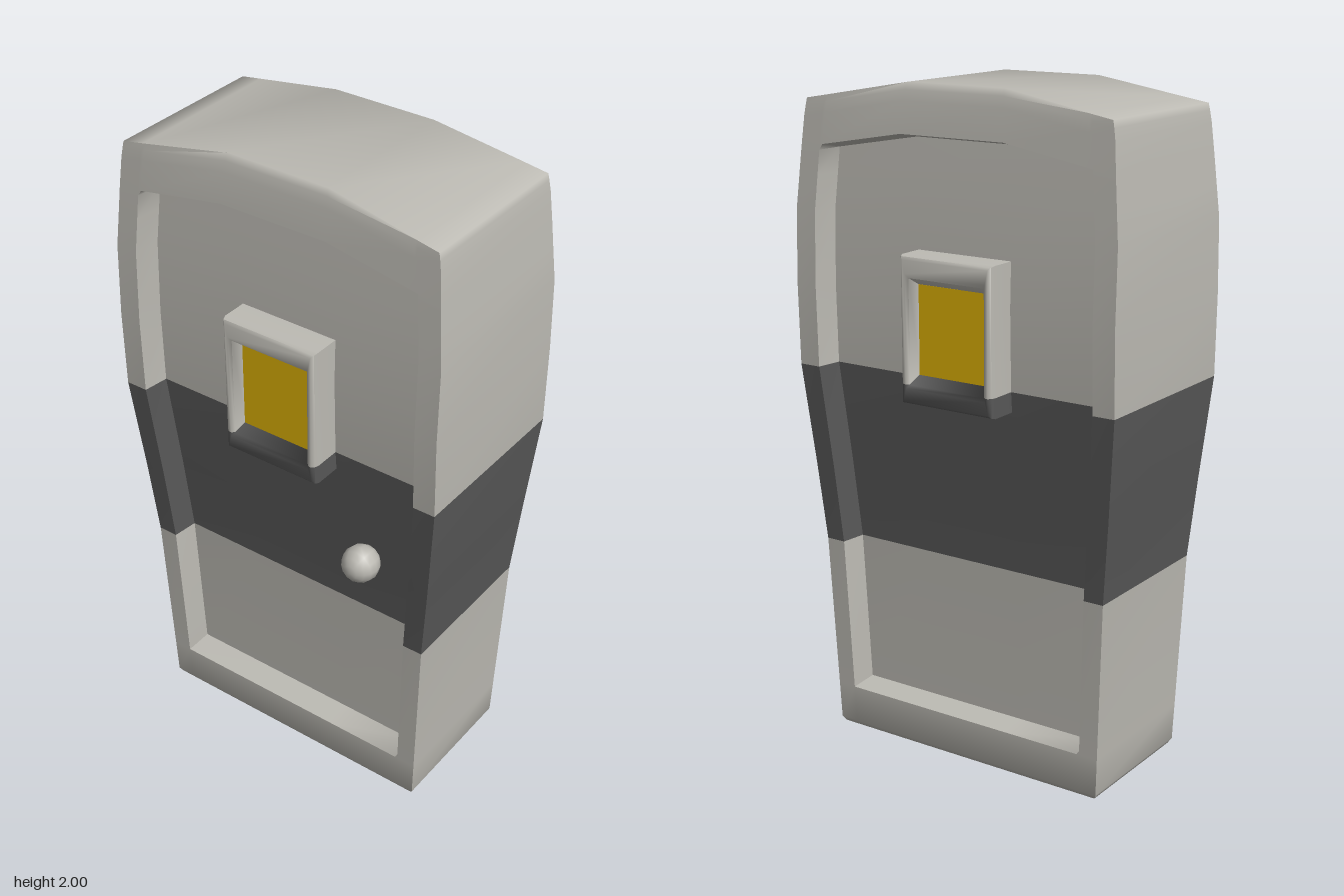
import * as THREE from 'three';
import { toCreasedNormals } from 'three/addons/utils/BufferGeometryUtils.js';

const BAND_LOW = 0.61, BAND_HIGH = 1.16, RECESS = 0.08;

const mat = (name, color) => {
  const m = new THREE.MeshStandardMaterial({ color });
  m.name = name;
  return m;
};

// Linear interpolation through [y, value] pairs
function lerpTable(table, y) {
  for (let i = 1; i < table.length; i++) {
    const [y0, v0] = table[i - 1], [y1, v1] = table[i];
    if (y <= y1) return v0 + (v1 - v0) * Math.max(0, (y - y0) / (y1 - y0));
  }
  return table[table.length - 1][1];
}

// Collects quads into two colour groups: 0 = light, 1 = dark
function quadGeometry(quads, crease) {
  const geo = new THREE.BufferGeometry(), data = [];
  for (const slot of [0, 1]) {
    const start = data.length / 3;
    for (const q of quads.filter((e) => e.slot === slot)) {
      for (const i of [0, 1, 2, 0, 2, 3]) data.push(...q.pts[i]);
    }
    geo.addGroup(start, data.length / 3 - start, slot);
  }
  geo.setAttribute('position', new THREE.Float32BufferAttribute(data, 3));
  return toCreasedNormals(geo, crease);
}

// Door slab: stacked loops with a recessed panel on both broad faces
function bodyGeometry() {
  const halfWidth = [[0, 0.457], [0.015, 0.466], [0.61, 0.49], [1.16, 0.54], [1.62, 0.54], [1.9, 0.515], [1.94, 0.507], [2, 0.49]];
  const halfThick = [[0, 0.215], [0.015, 0.224], [0.61, 0.24], [0.85, 0.255], [1.16, 0.28], [1.4, 0.285],
    [1.62, 0.278], [1.8, 0.267], [1.94, 0.256], [1.975, 0.248], [2, 0.238]];
  // [height, share of the roof arch, belongs to the recess]
  const rows = [[0, 0, 0], [0.015, 0, 0], [0.13, 0, 0], [0.142, 0, 1], [0.61, 0, 1], [0.85, 0, 1], [1.16, 0, 1],
    [1.4, 0, 1], [1.62, 0, 1], [1.75, 0.5, 1], [1.845, 1, 1], [1.86, 1, 0], [1.95, 1, 0], [1.98, 1, 0], [2, 1, 0]];
  const cols = [1, 0.873, 0.855, 0.33, -0.33, -0.855, -0.873, -1];
  const n = cols.length;

  const loops = rows.map(([rowY, arch, recess]) => {
    const side = cols.map((f) => {
      const a = Math.abs(f);
      const y = rowY - arch * 0.06 * Math.max(0, (a - 0.33) / 0.67);
      const x = lerpTable(halfThick, y) - (recess && a < 0.86 ? RECESS : 0);
      return [x, y, f * lerpTable(halfWidth, y)];
    });
    return [...side, ...side.map(([x, y, z]) => [-x, y, z]).reverse()];
  });

  const quads = [];
  for (let r = 0; r < rows.length - 1; r++) {
    const y = rows[r][0], slot = y >= BAND_LOW && y < BAND_HIGH ? 1 : 0;
    const a = loops[r], b = loops[r + 1];
    for (let i = 0; i < 2 * n; i++) {
      const j = (i + 1) % (2 * n);
      quads.push({ slot, pts: [a[i], a[j], b[j], b[i]] });
    }
  }
  // Roof and underside
  const top = loops[loops.length - 1], low = loops[0], last = 2 * n - 1;
  for (let i = 0; i < n - 1; i++) {
    quads.push({ slot: 0, pts: [top[i], top[i + 1], top[last - i - 1], top[last - i]] });
    quads.push({ slot: 0, pts: [low[last - i], low[last - i - 1], low[i + 1], low[i]] });
  }
  return quadGeometry(quads, 1.25);
}

// Bevelled window surround on the +x face, dark below the band's upper edge
function frameGeometry() {
  // [x, half width, bottom, top]
  const rings = [[0.18, 0.157, 1.1, 1.53], [0.278, 0.157, 1.1, 1.53], [0.291, 0.153, 1.104, 1.526],
    [0.298, 0.145, 1.112, 1.518], [0.298, 0.136, 1.148, 1.478], [0.29, 0.128, 1.158, 1.466], [0.26, 0.112, 1.186, 1.444]];
  const loops = rings.map(([x, w, b, t]) => {
    const split = Math.max(BAND_HIGH, b + 0.002);
    return [[x, b, w], [x, b, -w], [x, split, -w], [x, t, -w], [x, t, w], [x, split, w]];
  });
  const quads = [];
  for (let r = 0; r < loops.length - 1; r++) {
    for (let i = 0; i < 6; i++) {
      const j = (i + 1) % 6;
      const slot = i < 2 || i === 5 ? 1 : 0;
      quads.push({ slot, pts: [loops[r][i], loops[r][j], loops[r + 1][j], loops[r + 1][i]] });
    }
  }
  return quadGeometry(quads, 1.25);
}

export function createModel() {
  const model = new THREE.Group();
  model.name = 'door';
  const light = mat('lightGrey', 0xbcbab3);
  const dark = mat('darkGrey', 0x575757);
  const gold = mat('goldGlass', 0xdaae04);

  const add = (parent, name, geometry, material) => {
    const mesh = new THREE.Mesh(geometry, material);
    mesh.name = name;
    parent.add(mesh);
    return mesh;
  };

  add(model, 'doorBody', bodyGeometry(), [light, dark]);

  // A matching window on each broad face
  const frame = frameGeometry();
  const pane = new THREE.BoxGeometry(0.008, 0.262, 0.228);
  for (const [name, turn] of [['leftWindow', 0], ['rightWindow', Math.PI]]) {
    const win = new THREE.Group();
    win.name = name;
    win.rotation.y = turn;
    add(win, 'windowFrame', frame, [light, dark]);
    add(win, 'windowPane', pane, gold).position.set(0.259, 1.315, 0);
    model.add(win);
  }

  // Round knob on the -x face only
  const knob = add(model, 'knob', new THREE.SphereGeometry(0.057, 12, 8), light);
  knob.rotation.z = Math.PI / 2;
  knob.position.set(-0.223, 0.827, 0.264);

  return model;
}
